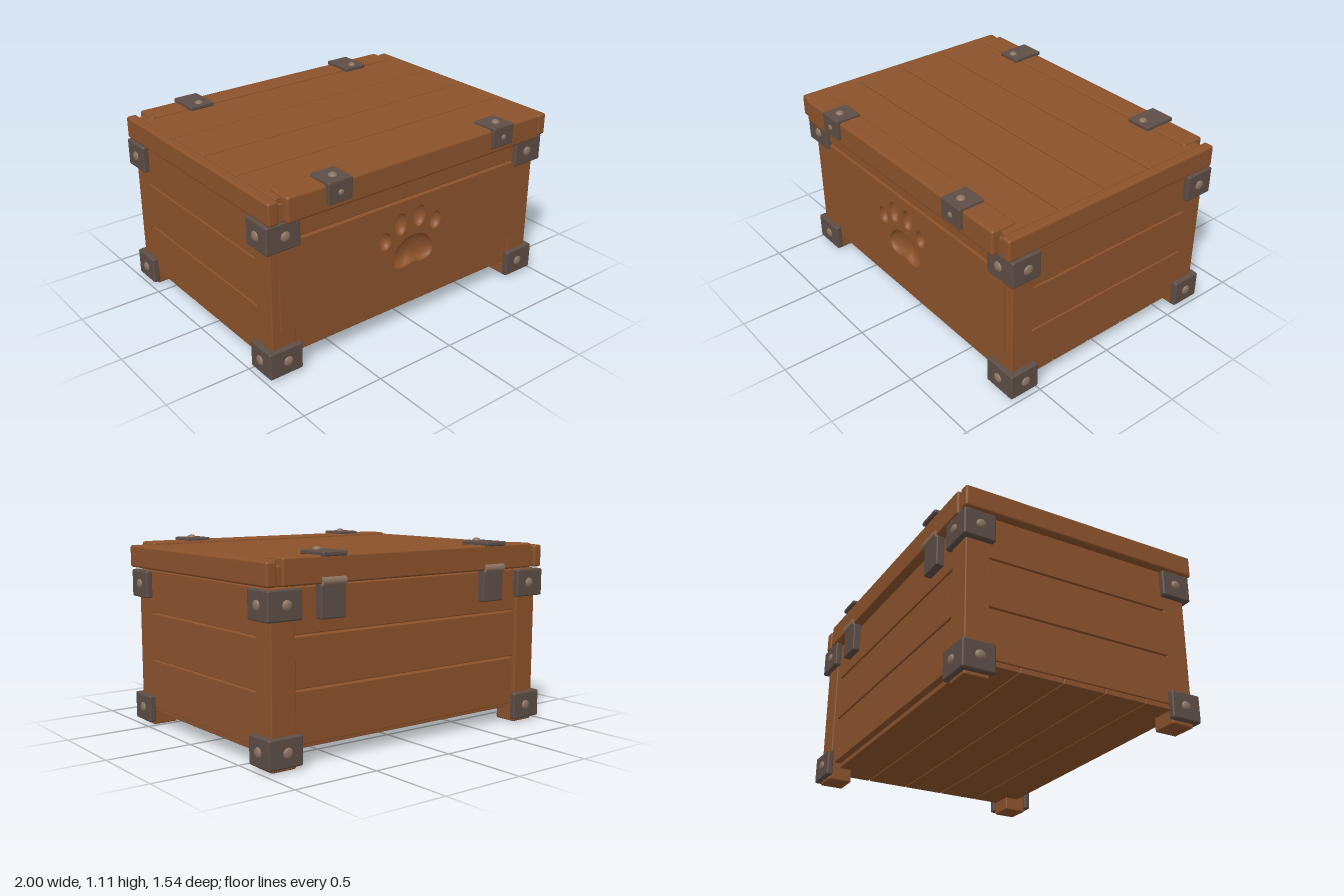
import * as THREE from 'three';
import { RoundedBoxGeometry } from 'three/addons/geometries/RoundedBoxGeometry.js';

const mat = (name, color) => {
  const m = new THREE.MeshStandardMaterial({ color });
  m.name = name;
  return m;
};

export function createModel() {
  const wood = mat('wood', 0x8b522b);
  const metal = mat('dark metal', 0x5d4d46);
  const brass = mat('rivet metal', 0x8a7260);
  const root = new THREE.Group();
  root.name = 'crate';

  const add = (name, geometry, material, parent = root) => {
    const mesh = new THREE.Mesh(geometry, material);
    mesh.name = name;
    parent.add(mesh);
    return mesh;
  };
  // Soft-edged box given by its limits on each axis
  const box = (name, [x0, x1], [y0, y1], [z0, z1], material = wood, r = 0.008) => {
    const size = [x1 - x0, y1 - y0, z1 - z0];
    const g = new RoundedBoxGeometry(...size, 2, Math.min(r, Math.min(...size) * 0.45));
    g.translate((x0 + x1) / 2, (y0 + y1) / 2, (z0 + z1) / 2);
    return add(name, g, material);
  };
  // Domed rivet pointing along a direction
  const rivet = (x, y, z, dir, r = 0.03, h = 0.016) => {
    const g = new THREE.SphereGeometry(r, 14, 6, 0, Math.PI * 2, 0, Math.PI / 2);
    g.scale(1, h / r, 1);
    const m = add('rivet', g, brass);
    m.quaternion.setFromUnitVectors(new THREE.Vector3(0, 1, 0), new THREE.Vector3(...dir));
    m.position.set(x, y, z);
  };
  const span = (a, b) => (a < b ? [a, b] : [b, a]);

  // Corner posts with L-shaped metal brackets above and below
  for (const s of [-1, 1]) {
    for (const [f, zo] of [[1, 0.66], [-1, -0.73]]) {
      box('cornerPost', span(s * 0.8, s * 0.95), [0, 0.92], span(zo - f * 0.14, zo));
      for (const y of [0.02, 0.76]) {
        const ys = [y, y + 0.16];
        box('bracketFace', span(s * 0.775, s * 0.985), ys, span(zo - f * 0.01, zo + f * 0.028), metal, 0.01);
        box('bracketSide', span(s * 0.945, s * 0.985), ys, span(zo - f * 0.158, zo + f * 0.028), metal, 0.01);
        rivet(s * 0.87, y + 0.08, zo + f * 0.026, [0, 0, f]);
        rivet(s * 0.983, y + 0.08, zo - f * 0.07, [s, 0, 0]);
      }
    }
  }

  // Side and back planks with open gaps
  for (const [y0, y1] of [[0.11, 0.39], [0.4, 0.67], [0.68, 0.92]]) {
    for (const s of [-1, 1]) {
      box('sidePlank', span(s * 0.9, s * 0.95), [y0, y1], [-0.6, 0.54], wood, 0.003);
    }
    box('backPlank', [-0.81, 0.81], [y0, y1], [-0.705, -0.655], wood, 0.005);
  }

  // Floor planks
  for (let i = 0; i < 5; i++) {
    const z = -0.67 + i * 0.256;
    box('floorPlank', [-0.94, 0.94], [0.08, 0.112], [z + 0.003, z + 0.253], wood, 0.005);
  }

  // Front rails
  box('frontLowerRail', [-0.81, 0.81], [0.11, 0.272], [0.605, 0.653]);
  box('frontUpperRail', [-0.94, 0.94], [0.798, 0.92], [0.61, 0.664]);

  // Paw outlines, counter-clockwise
  const pad = new THREE.CatmullRomCurve3([
    [0.15, 0.435], [0.12, 0.505], [0.062, 0.55], [0, 0.56], [-0.062, 0.55], [-0.12, 0.505], [-0.153, 0.435],
    [-0.125, 0.388], [-0.065, 0.374], [0, 0.391], [0.065, 0.374], [0.125, 0.388],
  ].map(([x, y]) => new THREE.Vector3(x, y, 0)), true).getPoints(40).slice(0, 40)
    .map((p) => new THREE.Vector2(p.x, p.y));
  const toe = (x, y, rx, ry, tilt) => Array.from({ length: 28 }, (_, i) => {
    const a = (i / 28) * Math.PI * 2;
    return new THREE.Vector2(Math.cos(a) * rx, Math.sin(a) * ry)
      .rotateAround(new THREE.Vector2(), tilt).add(new THREE.Vector2(x, y));
  });
  const outlines = [
    pad,
    toe(-0.203, 0.58, 0.041, 0.054, 0.12), toe(-0.094, 0.653, 0.044, 0.067, 0.04),
    toe(0.041, 0.667, 0.044, 0.066, -0.04), toe(0.163, 0.602, 0.042, 0.055, -0.12),
  ];

  // Front panel pierced by the paw
  const shape = new THREE.Shape();
  shape.moveTo(-0.9, 0.28).lineTo(0.9, 0.28).lineTo(0.9, 0.788).lineTo(-0.9, 0.788).closePath();
  outlines.forEach((o) => shape.holes.push(new THREE.Path([...o].reverse())));
  const panel = new THREE.ExtrudeGeometry(shape, { depth: 0.055, bevelEnabled: false });
  panel.translate(0, 0, 0.617);
  add('frontPanel', panel, wood);

  // Carved bowls: the outline shrinks to its centre as it deepens
  const bowl = (outline, z, depth) => {
    const n = outline.length, rings = 8, pos = [], index = [];
    const c = outline.reduce((a, p) => a.add(p), new THREE.Vector2()).divideScalar(n);
    for (let k = 0; k <= rings; k++) {
      const t = (k / rings) * Math.PI / 2;
      for (const p of outline) {
        const q = c.clone().lerp(p, Math.max(Math.cos(t), 0.001));
        pos.push(q.x, q.y, z - depth * Math.sin(t));
      }
    }
    for (let k = 0; k < rings; k++) {
      for (let i = 0; i < n; i++) {
        const a = k * n + i, b = k * n + ((i + 1) % n);
        index.push(a, b, a + n, b, b + n, a + n);
      }
    }
    const g = new THREE.BufferGeometry();
    g.setAttribute('position', new THREE.Float32BufferAttribute(pos, 3));
    g.setIndex(index);
    g.computeVertexNormals();
    return g;
  };
  outlines.forEach((o, i) => add(i ? 'pawToe' : 'pawPad', bowl(o, 0.672, i ? 0.04 : 0.05), wood));

  // Lid: slab, end rims, top planks and raised battens
  box('lidSlab', [-0.95, 0.95], [0.932, 1.035], [-0.74, 0.7]);
  for (const s of [-1, 1]) {
    box('lidRim', span(s * 0.92, s * 0.983), [0.93, 1.06], [-0.75, 0.712], wood, 0.014);
  }
  const cuts = [-0.7, -0.292, 0.027, 0.342, 0.69];
  for (let i = 0; i < 4; i++) {
    box('lidPlank', [-0.925, 0.925], [1.0, 1.062], [cuts[i] + 0.004, cuts[i + 1] - 0.004], wood, 0.007);
  }
  box('frontBatten', [-0.89, 0.89], [0.93, 1.078], [0.59, 0.74], wood, 0.016);
  box('backBatten', [-0.89, 0.89], [0.93, 1.074], [-0.752, -0.61], wood, 0.012);

  // Front clasps and back hinges
  for (const s of [-1, 1]) {
    const x = s * 0.578, xs = [x - 0.078, x + 0.078];
    box('claspTop', xs, [1.07, 1.094], [0.6, 0.76], metal);
    box('claspFront', xs, [0.97, 1.094], [0.734, 0.76], metal);
    rivet(x, 1.092, 0.69, [0, 1, 0], 0.025, 0.018);
    rivet(x, 1.025, 0.758, [0, 0, 1], 0.018, 0.012);

    box('hingeTop', xs, [1.068, 1.094], [-0.768, -0.565], metal);
    rivet(x, 1.092, -0.606, [0, 1, 0], 0.025, 0.018);
    box('hingePlate', xs, [0.75, 0.935], [-0.75, -0.7], metal);
    const pin = add('hingePin', new THREE.CylinderGeometry(0.025, 0.025, 0.15, 16), brass);
    pin.rotation.z = Math.PI / 2;
    pin.position.set(x, 0.942, -0.743);
  }
  return root;
}
